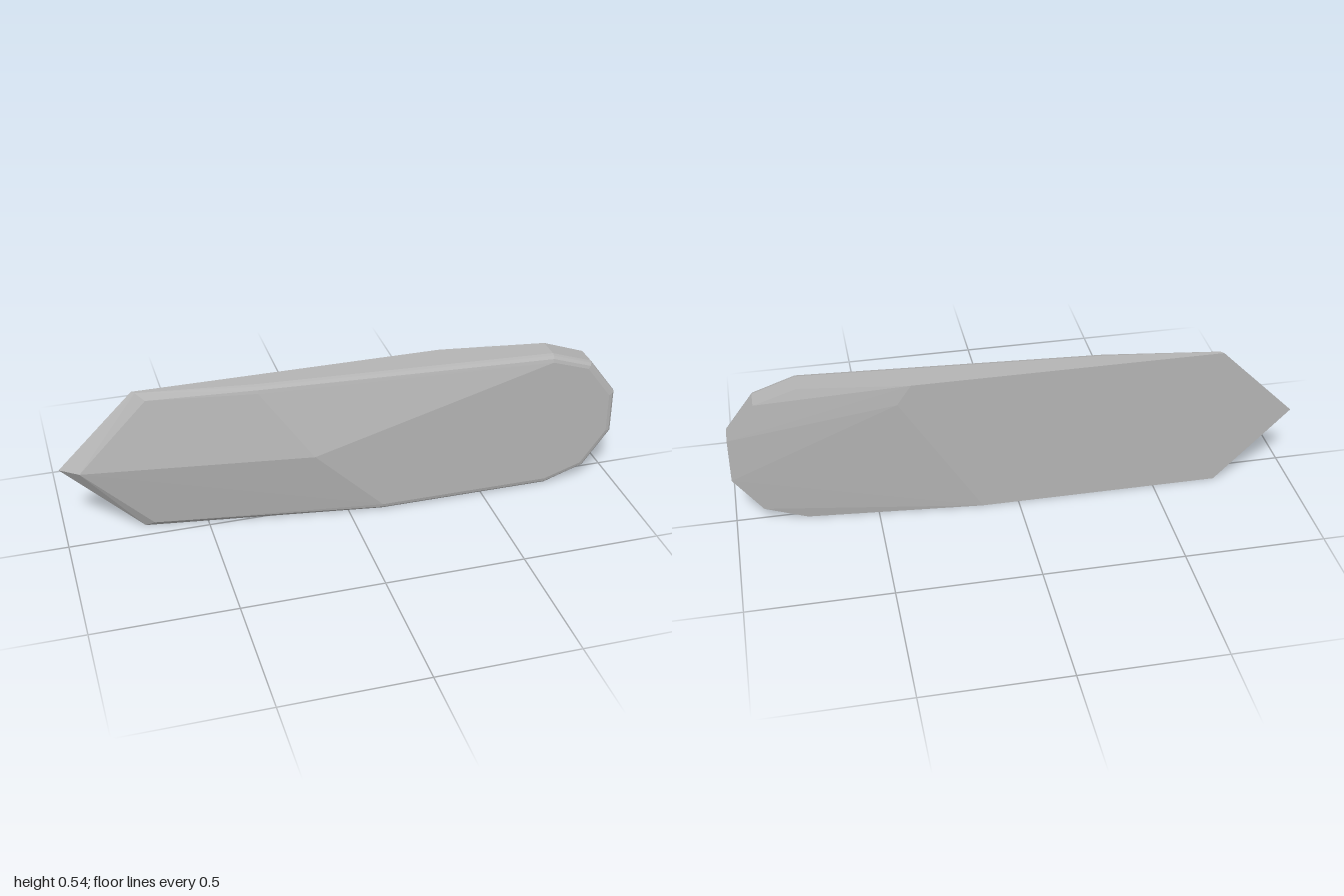
import * as THREE from 'three';
import { ConvexGeometry } from 'three/addons/geometries/ConvexGeometry.js';

const H = 0.537;
const BACK = -0.08;
const ROUND = 0.025;

export function createModel() {
  const group = new THREE.Group();
  group.name = 'bladePlate';
  const grey = new THREE.MeshStandardMaterial({ color: 0xb4b4b4 });
  grey.name = 'grey';

  const points = [];
  const add = (x, y, z) => points.push(new THREE.Vector3(x, y, z));

  // Rim point: quarter-round edge between side wall and front face.
  // (dx, dy) points inwards, front is the height of the face there.
  const rim = (x, y, dx, dy, front) => {
    const steps = 3;
    for (let i = 0; i <= steps; i++) {
      const a = (i / steps) * Math.PI / 2;
      const inset = ROUND * (1 - Math.cos(a));
      add(x + dx * inset, y + dy * inset, front - ROUND * (1 - Math.sin(a)));
    }
  };

  // Pointed end with chamfered edges
  add(-1, H / 2, BACK);
  add(-0.935, H / 2, -0.032);
  add(-0.73, H, BACK);
  add(-0.72, H, -0.067);
  add(-0.69, H - 0.022, -0.043);
  add(-0.73, 0, BACK);
  add(-0.72, 0, -0.06);
  add(-0.69, 0.022, -0.036);

  // Ridge peak and the long edges of the front face
  add(-0.13, H / 2, 0.08);
  rim(-0.31, H, 0, -1, 0.01);
  rim(0.12, 0, 0, 1, 0.08);

  // Blunt faceted end
  const end = [
    [0.75, H, -0.2, -1],
    [0.9, 0.485, -0.7, -0.75],
    [1, 0.352, -1, -0.35],
    [1, 0.187, -1, 0.35],
    [0.9, 0.052, -0.7, 0.75],
    [0.75, 0, -0.2, 1],
  ];
  for (const [x, y, dx, dy] of end) {
    rim(x, y, dx, dy, 0.08);
    add(x, y, x < 0.8 ? -0.025 : -0.02);
  }

  // Break line where the back starts to thin
  add(0.37, H, BACK);
  add(0.42, 0.465, BACK);
  add(0.13, 0, BACK);

  const plate = new THREE.Mesh(new ConvexGeometry(points), grey);
  plate.name = 'plate';
  group.add(plate);
  return group;
}
